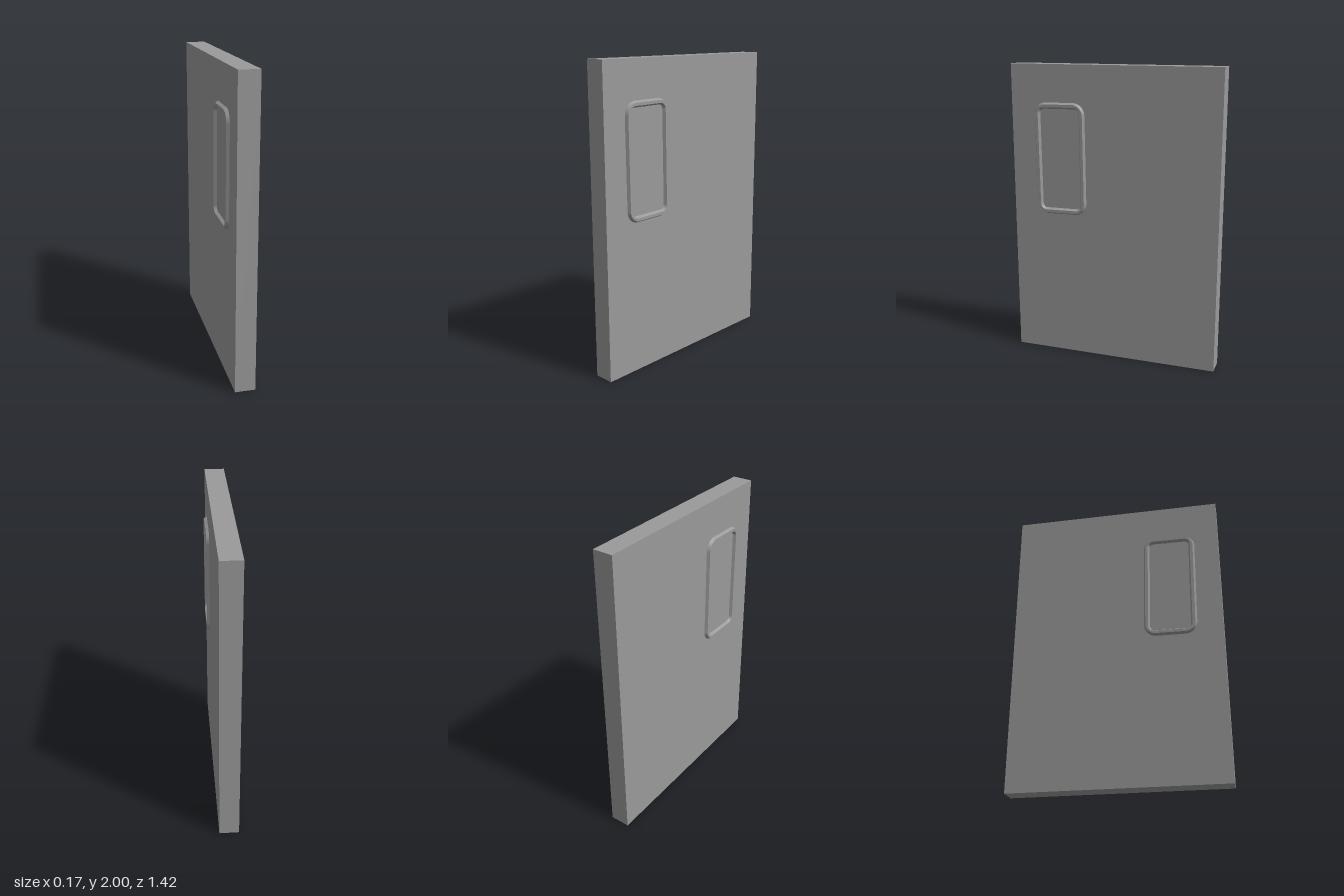
import * as THREE from 'three';

// Rounded rectangle centred on the origin, traced on a Shape or Path
function roundedRect(path, hw, hh, r) {
  path.moveTo(hw, -hh + r);
  path.lineTo(hw, hh - r);
  path.absarc(hw - r, hh - r, r, 0, Math.PI / 2);
  path.lineTo(-hw + r, hh);
  path.absarc(-hw + r, hh - r, r, Math.PI / 2, Math.PI);
  path.lineTo(-hw, -hh + r);
  path.absarc(-hw + r, -hh + r, r, Math.PI, Math.PI * 1.5);
  path.lineTo(hw - r, -hh);
  path.absarc(hw - r, -hh + r, r, Math.PI * 1.5, Math.PI * 2);
  return path;
}

export function createModel() {
  const group = new THREE.Group();
  const material = new THREE.MeshStandardMaterial({ color: 0x9a9a9a });

  // Door slab
  const slab = new THREE.Mesh(new THREE.BoxGeometry(0.132, 2, 1.424), material);
  slab.name = 'doorSlab';
  slab.position.y = 1;
  group.add(slab);

  // Window trim: chamfered ring passing through the slab, proud on both faces
  const bevel = 0.011, rise = 0.019, depth = 0.132;
  const ring = roundedRect(new THREE.Shape(), 0.177 - bevel, 0.376 - bevel, 0.07);
  ring.holes.push(roundedRect(new THREE.Path(), 0.147, 0.346, 0.04));
  const trimGeometry = new THREE.ExtrudeGeometry(ring, {
    depth, bevelThickness: rise, bevelSize: bevel, bevelSegments: 1, curveSegments: 8,
  });
  trimGeometry.translate(0, 0, -depth / 2);
  trimGeometry.rotateY(-Math.PI / 2);
  const trim = new THREE.Mesh(trimGeometry, material);
  trim.name = 'windowTrim';
  trim.position.set(0, 1.377, 0.368);
  trim.rotation.x = 0.012; // hangs very slightly out of true
  group.add(trim);

  return group;
}
